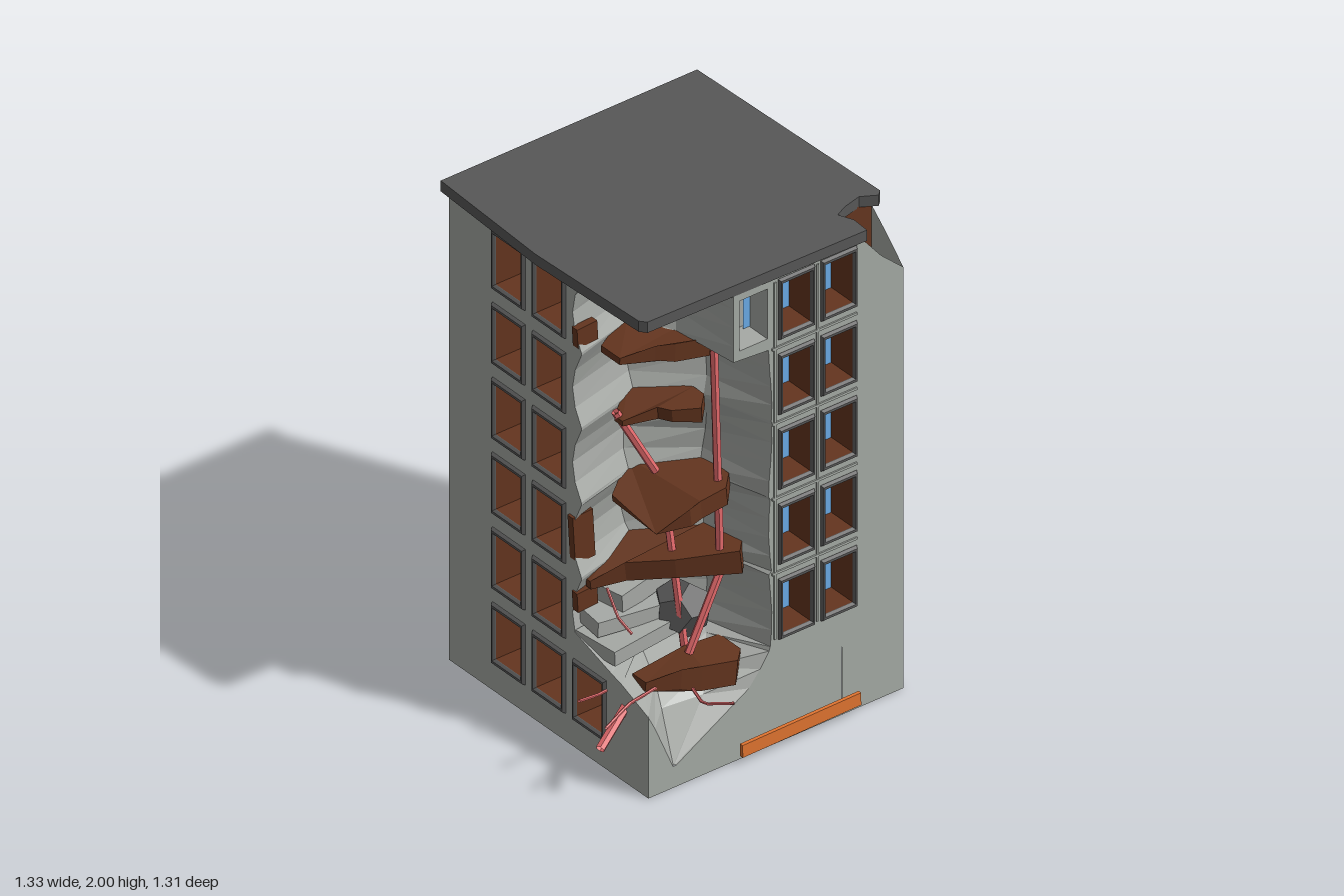
import * as THREE from 'three';

const mat = (color) => new THREE.MeshStandardMaterial({ color, flatShading: true, side: THREE.DoubleSide });
const WALL = mat(0xa5aaa4), DARK = mat(0x575757), BROWN = mat(0x64351f), BLUE = mat(0x6aabe6);
const RED = mat(0xe0686a), ORANGE = mat(0xe07430), PALE = mat(0xa6a9a5);

const X0 = -0.5, X1 = 0.64, Z0 = -0.62, Z1 = 0.51, TOP = 1.957, STOREY = 0.315;
const ROWS = [0.245, 0.56, 0.875, 1.19, 1.505, 1.82];
const COLS_X = [0.35, 0.16, -0.03, -0.22], COLS_Z = [0.18, -0.05, -0.28];

const v2 = (pts) => pts.map(([x, y]) => new THREE.Vector2(x, y));
const shapeOf = (pts) => new THREE.Shape(v2(pts));
const rectPts = (x, y, w, h) => [[x - w / 2, y - h / 2], [x + w / 2, y - h / 2], [x + w / 2, y + h / 2], [x - w / 2, y + h / 2]];
const extrude = (shape, depth) => new THREE.ExtrudeGeometry(shape, { depth, bevelEnabled: false });

function add(parent, name, geo, material, pos = [0, 0, 0], rot = [0, 0, 0]) {
  const m = new THREE.Mesh(geo, material);
  m.name = name;
  m.position.set(...pos);
  m.rotation.set(...rot);
  parent.add(m);
}

// Sheet running through rows of points
function loft(rows) {
  const index = [], n = rows[0].length;
  for (let i = 1; i < rows.length; i++) {
    for (let j = 0; j < n - 1; j++) {
      const a = (i - 1) * n + j, b = i * n + j;
      index.push(a, a + 1, b + 1, a, b + 1, b);
    }
  }
  const g = new THREE.BufferGeometry();
  g.setAttribute('position', new THREE.Float32BufferAttribute(rows.flat(2), 3));
  g.setIndex(index);
  g.computeVertexNormals();
  return g;
}

// Levels of the collapsed corner: left wall end, two inner points, front wall end
function craterLevels() {
  const levels = [
    { y: 0.09, p: [[-0.39, Z1], [-0.385, 0.505], [-0.38, 0.505], [-0.375, Z1]] },
    { y: 0.28, p: [[-0.47, Z1], [-0.37, 0.42], [-0.2, 0.44], [-0.05, Z1]] },
    { y: 0.34, p: [[X0, Z1], [-0.33, 0.33], [-0.14, 0.38], [0, Z1]] },
    { y: 0.4, p: [[X0, 0.36], [-0.28, 0.18], [-0.06, 0.28], [0.04, Z1]] },
  ];
  for (let i = 0; i < 5; i++) {
    for (let j = 0; j <= 4; j++) {
      const t = j / 4, s = Math.sin(Math.PI * t) * 0.05, top = i === 4;
      const y = Math.min(0.405 + (i + t) * STOREY + (j === 0 ? 0.012 : 0), TOP);
      const k = i === 0 && j === 0 ? 0.17 : 0;
      const w = 0.015 * Math.sin(i * 2.3 + j);
      levels.push({ y, p: [
        [X0, 0.13 - s + k],
        [-0.22 + w, 0.06 - s + k / 2],
        [(top ? -0.15 : -0.03) + s * 0.6, 0.22 - s * 0.5 + w],
        [top ? -0.12 : 0.045 + w * 0.5, Z1]] });
    }
  }
  return levels;
}

// Recessed window: chamfered surround, reveal and glass, standing on a wall's plane
function addWindow(wall, u, y, w, broken) {
  const g = new THREE.Group(), h = 0.21, d = 0.12;
  g.name = 'window';
  g.position.set(u, y, 0);
  if (!broken) {
    const ring = shapeOf(rectPts(0, 0, w + 0.036, h + 0.044));
    ring.holes.push(new THREE.Path(v2(rectPts(0, 0, w, h))));
    add(g, 'windowFrame', new THREE.ExtrudeGeometry(ring,
      { depth: 0.003, bevelThickness: 0.01, bevelSize: 0.006, bevelOffset: -0.006, bevelSegments: 1 }), DARK);
  }
  const tube = new THREE.CylinderGeometry(Math.SQRT1_2, Math.SQRT1_2, 1, 4, 1, true);
  tube.rotateY(Math.PI / 4).rotateX(Math.PI / 2).scale(w, h, d);
  add(g, 'windowReveal', tube, broken ? PALE : BROWN, [0, 0, -d / 2]);
  add(g, 'windowPane', new THREE.PlaneGeometry(w, h), broken ? PALE : BLUE, [0, 0, -d]);
  wall.add(g);
}

function addWall(root, name, outline, pos, turn, windows, w, hole) {
  const g = new THREE.Group();
  g.name = name;
  g.position.set(...pos);
  g.rotation.y = turn;
  const s = shapeOf(outline);
  for (const [u, y] of windows) s.holes.push(new THREE.Path(v2(rectPts(u, y, w, 0.21))));
  if (hole) s.holes.push(new THREE.Path(v2(hole)));
  add(g, name + 'Surface', new THREE.ShapeGeometry(s), WALL);
  for (const [u, y, broken] of windows) addWindow(g, u, y, w, broken);
  root.add(g);
  return g;
}

const grid = (cols, rows) => rows.flatMap((y) => cols.map((u) => [u, y]));

// Thin string courses between the storeys and ribs between the columns
function addRibs(wall, u, width, rows, ribs) {
  for (const y of rows.slice(0, -1)) add(wall, 'ledge', new THREE.BoxGeometry(width, 0.01, 0.012), WALL, [u, y + STOREY / 2, 0]);
  const low = rows[0] - 0.12;
  for (const x of ribs) add(wall, 'rib', new THREE.BoxGeometry(0.01, 1.94 - low, 0.01), WALL, [x, (1.94 + low) / 2, 0]);
}

function rod(root, pts, r) {
  const path = new THREE.CurvePath();
  const v = pts.map((p) => new THREE.Vector3(...p));
  for (let i = 1; i < v.length; i++) path.add(new THREE.LineCurve3(v[i - 1], v[i]));
  add(root, 'rebar', new THREE.TubeGeometry(path, (v.length - 1) * 4, r, 6, false), RED);
}

export function createModel() {
  const root = new THREE.Group();
  root.name = 'ruinedBuilding';
  const levels = craterLevels();

  // Front wall, broken away on one side, with a doorway
  const door = [[-0.04, 0.004], [0.365, 0.004], [0.365, 0.285], [0.02, 0.285], [0, 0.24], [-0.04, 0.2]];
  const frontEdge = levels.map((l) => [l.p[3][0], l.y]).reverse();
  const front = addWall(root, 'frontWall',
    [[X1, 0], [X1, 1.77], [0.54, 1.86], [0.46, TOP], ...frontEdge, ...levels.slice(0, 3).map((l) => [l.p[0][0], l.y]), [X0, 0]],
    [0, 0, Z1], 0, [...grid(COLS_X.slice(0, 2), ROWS.slice(1)), [-0.03, 1.82, true]], 0.125, door);
  addRibs(front, 0.24, 0.38, ROWS.slice(1), [0.255, 0.065]);
  // Remains of glass and exposed room walls behind broken windows
  for (const [x, y, w, m] of [[0.018, 1.82, 0.03, BLUE], [0.137, 0.56, 0.08, BROWN], [0.115, 1.505, 0.035, BROWN]])
    add(front, 'windowRemnant', new THREE.PlaneGeometry(w, 0.205), m, [x, y, -0.1]);
  add(front, 'door', extrude(shapeOf(door), 0.03), WALL, [0, 0, -0.033]);
  add(front, 'doorPlank', new THREE.BoxGeometry(0.53, 0.052, 0.015), ORANGE, [0.155, 0.062, 0.033], [0, 0, 0.012]);

  // Side and back walls
  const right = addWall(root, 'rightWall', [[-Z1, 0], [-Z0, 0], [-Z0, TOP], [-0.31, TOP], [-0.42, 1.86], [-Z1, 1.77]],
    [X1, 0, 0], Math.PI / 2, grid(COLS_Z.map((z) => -z), ROWS.slice(1)), 0.15);
  addRibs(right, 0.05, 0.62, ROWS.slice(1), [-0.065, 0.165]);
  const back = addWall(root, 'backWall', [[-X1, 0], [-X0, 0], [-X0, TOP], [-X1, TOP]],
    [0, 0, Z0], Math.PI, grid(COLS_X.map((x) => -x), ROWS), 0.125);
  addRibs(back, -0.065, 0.74, ROWS, [-0.255, -0.065, 0.125]);
  addWall(root, 'leftWall', [[Z0, 0], [Z1, 0], ...levels.slice(2).map((l) => [l.p[0][1], l.y]), [Z0, TOP]],
    [X0, 0, 0], -Math.PI / 2, [...grid(COLS_Z.slice(1), ROWS), [0.18, 0.245]], 0.15);

  // Scalloped inner surface of the collapsed corner
  add(root, 'collapsedCorner', loft(levels.map((l) => l.p.map(([x, z]) => [x, l.y, z]))), PALE);

  // Room wall showing behind the chipped upper corner
  const chip = [[0.46, 0.51], [0.445, 0.39], [0.5, 0.345], [0.64, 0.33]];
  add(root, 'chippedCorner', loft([1.76, 1.96].map((y) => chip.map(([x, z]) => [x, y, z]))), BROWN);

  // Roof slab with a bite out of the front corner (plan drawn as x, -z)
  const roof = [[-0.51, -0.655], [0.637, -0.655], [0.663, 0.35], [0.64, 0.37], [0.58, 0.335], [0.5, 0.355],
    [0.45, 0.38], [0.475, 0.44], [0.47, 0.52], [0.1, 0.515], [-0.5, 0.505], [-0.52, 0.48], [-0.54, -0.08]];
  add(root, 'roof', extrude(shapeOf(roof.map(([x, z]) => [x, -z])), 0.045).rotateX(-Math.PI / 2), DARK, [0, 1.955, 0]);

  // Broken floor slabs: height, left tip x and z, right end x and z, back z, thickness, tilt
  const slabs = [[1.62, -0.4, 0.22, -0.03, 0.34, 0.02, 0.06, -0.03], [1.345, -0.34, 0.16, -0.05, 0.32, 0.02, 0.05, 0.08],
    [1.02, -0.35, 0.36, 0, 0.4, 0.02, 0.06, 0.1], [0.72, -0.46, 0.13, 0.05, 0.42, 0.02, 0.08, 0.12],
    [0.32, -0.43, 0.4, -0.04, 0.5, 0.32, 0.08, -0.1]];
  for (const [y, l, lz, r, rz, bz, t, tilt] of slabs) {
    const plan = [[l, lz], [l + 0.12, lz + 0.05], [(l + r) / 2, (lz + rz) / 2 + 0.02], [r - 0.06, rz], [r, rz - 0.06],
      [r, Math.max(0.2, bz)], [-0.2, bz], [l, Math.min(0.1, lz - 0.04) + bz * 0.7]];
    const geo = extrude(shapeOf(plan.map(([x, q]) => [x, -q])), t).rotateX(-Math.PI / 2);
    // Thin the slab towards its broken end
    const p = geo.attributes.position;
    for (let i = 0; i < p.count; i++) {
      if (p.getY(i) > t / 2 && p.getX(i) < l + 0.05) p.setY(i, t * 0.45);
      if (p.getY(i) < t / 2 && p.getZ(i) > rz - 0.05) p.setY(i, -t * 0.25);
    }
    geo.computeVertexNormals();
    add(root, 'brokenFloor', geo, BROWN, [0, y, 0], [0, 0, tilt]);
  }

  // Exposed wall ends on the left side
  for (const [y, h, z] of [[1.73, 0.08, 0.1], [0.87, 0.2, 0.08], [0.62, 0.08, 0.1]])
    add(root, 'exposedWallEnd', new THREE.BoxGeometry(0.09, h, 0.03), BROWN, [-0.46, y, z], [0, 0, 0.06]);

  // Rubble lying on the lowest ledge
  for (const [x, y, z, w, h, d, a] of [[-0.32, 0.47, 0.18, 0.34, 0.06, 0.2, 0.03], [-0.3, 0.53, 0.13, 0.34, 0.06, 0.18, -0.04],
    [-0.25, 0.6, 0.1, 0.26, 0.08, 0.14, 0.06]])
    add(root, 'rubbleBlock', new THREE.BoxGeometry(w, h, d), PALE, [x, y, z], [0, a * 3, a]);
  add(root, 'rubbleChunk', new THREE.DodecahedronGeometry(0.11), DARK, [-0.13, 0.51, 0.23], [0.3, 0.5, 0.2]);

  // Bent reinforcement bars
  rod(root, [[-0.05, 1.63, 0.31], [-0.06, 0.7, 0.36], [-0.21, 0.42, 0.37]], 0.016);
  rod(root, [[-0.34, 1.36, 0.12], [-0.2, 1.08, 0.17]], 0.016);
  rod(root, [[-0.18, 1.02, 0.19], [-0.18, 0.4, 0.31]], 0.016);
  rod(root, [[-0.38, 0.37, 0.33], [-0.645, 0.22, 0.42]], 0.018);
  rod(root, [[-0.36, 0.35, 0.25], [-0.52, 0.33, 0.275], [-0.645, 0.36, 0.3]], 0.006);
  rod(root, [[-0.38, 0.37, 0.41], [-0.53, 0.37, 0.435], [-0.66, 0.34, 0.472]], 0.006);
  rod(root, [[-0.25, 0.34, 0.42], [-0.295, 0.34, 0.56], [-0.225, 0.36, 0.648]], 0.006);
  rod(root, [[-0.44, 0.7, 0.2], [-0.47, 0.64, 0.3], [-0.44, 0.58, 0.34]], 0.006);
  return root;
}
